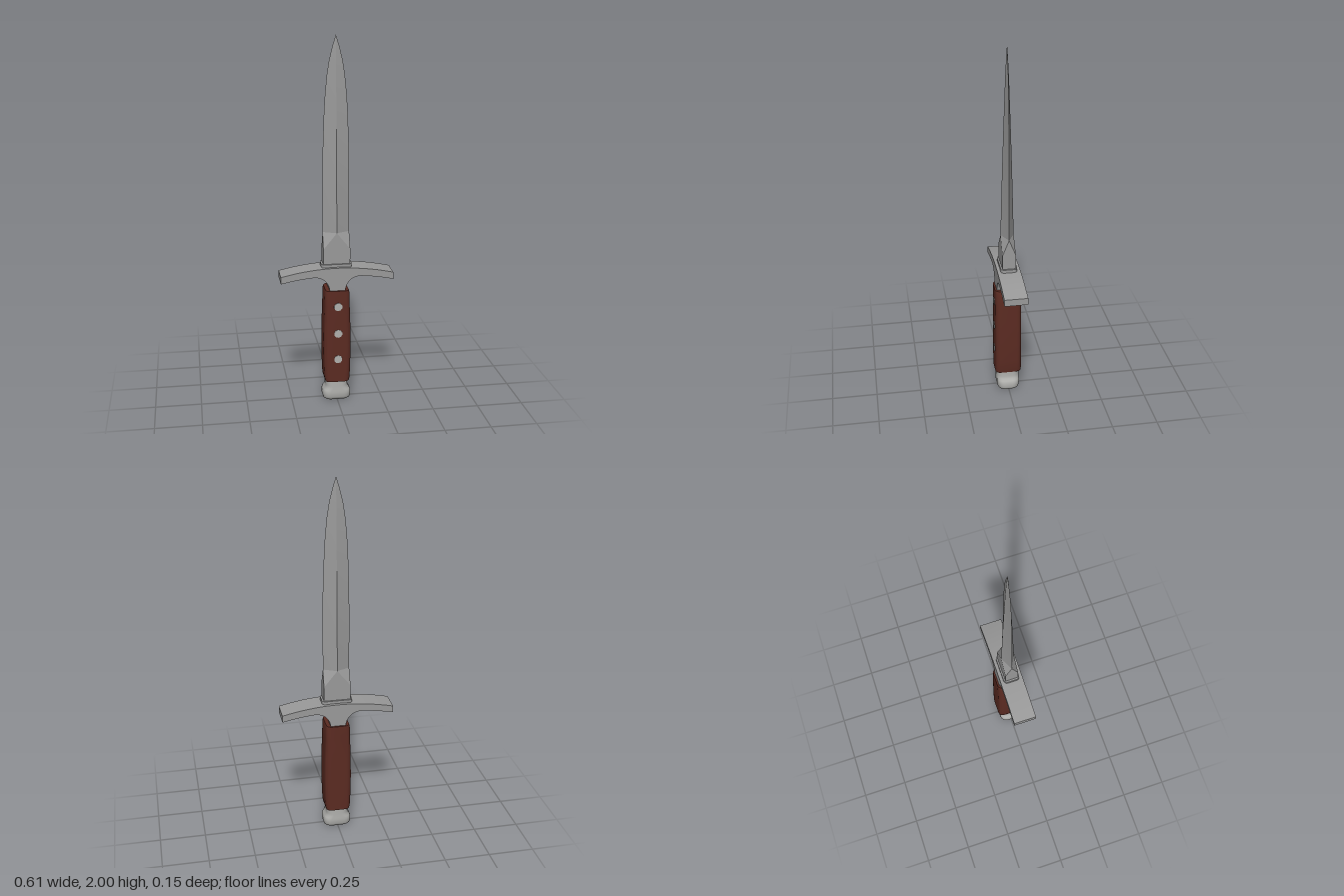
import * as THREE from 'three';
import { toCreasedNormals } from 'three/addons/utils/BufferGeometryUtils.js';

// Skin a stack of horizontal rings (bottom to top) and cap both ends
function loft(rings, crease) {
  const n = rings[0].length, pos = [], idx = [];
  rings.forEach(r => r.forEach(p => pos.push(...p)));
  for (let i = 0; i < rings.length - 1; i++) {
    for (let j = 0; j < n; j++) {
      const k = (j + 1) % n, a = i * n + j, b = i * n + k, c = b + n, d = a + n;
      idx.push(a, d, c, a, c, b);
    }
  }
  const top = (rings.length - 1) * n;
  for (let j = 1; j < n - 1; j++) {
    idx.push(0, j, j + 1);
    idx.push(top, top + j + 1, top + j);
  }
  const g = new THREE.BufferGeometry();
  g.setAttribute('position', new THREE.Float32BufferAttribute(pos, 3));
  g.setIndex(idx);
  return toCreasedNormals(g, crease);
}

// Rounded rectangle ring at height y
function roundRing(y, hx, hz, r, steps = 5) {
  const pts = [];
  [[1, 1], [-1, 1], [-1, -1], [1, -1]].forEach(([sx, sz], q) => {
    for (let s = 0; s <= steps; s++) {
      const t = (q + s / steps) * Math.PI / 2;
      pts.push([sx * (hx - r) + r * Math.cos(t), y, sz * (hz - r) + r * Math.sin(t)]);
    }
  });
  return pts;
}

// Rectangle ring with corners cut by fraction c (1 gives a diamond)
function cutRing(y, hx, hz, c) {
  const u = hx * (1 - c), v = hz * (1 - c);
  return [[hx, y, v], [u, y, hz], [-u, y, hz], [-hx, y, v],
    [-hx, y, -v], [-u, y, -hz], [u, y, -hz], [hx, y, -v]];
}

export function createModel() {
  const group = new THREE.Group();
  const material = (name, color) => {
    const m = new THREE.MeshStandardMaterial({ color });
    m.name = name;
    return m;
  };
  const steel = material('steel', 0x9a9a9a);
  const polished = material('polishedSteel', 0xb0b0ad);
  const wood = material('redBrownWood', 0x5b2b22);
  const add = (name, geometry, mat) => {
    const m = new THREE.Mesh(geometry, mat);
    m.name = name;
    group.add(m);
    return m;
  };

  // Blade: square base, cut to a diamond section, tapering to the point
  const blade = [[0.78, 0.073, 0.036, 0], [0.87, 0.073, 0.036, 0], [0.96, 0.072, 0.036, 1],
    [1.2, 0.072, 0.03, 1], [1.4, 0.07, 0.0245, 1], [1.6, 0.063, 0.018, 1],
    [1.7, 0.057, 0.0145, 1], [1.8, 0.047, 0.011, 1], [1.87, 0.036, 0.008, 1],
    [1.94, 0.019, 0.0045, 1], [2, 0.0005, 0.0005, 1]];
  add('blade', loft(blade.map(b => cutRing(...b)), 0.15), steel);

  // Collar under the blade
  add('collar', loft([0.755, 0.788].map(y => roundRing(y, 0.083, 0.045, 0.02)), 0.6), steel);

  // Curved crossguard flowing into the neck
  const s = new THREE.Shape();
  s.moveTo(-0.306, 0.735);
  s.lineTo(-0.306, 0.697);
  s.quadraticCurveTo(-0.2, 0.72, -0.125, 0.724);
  s.bezierCurveTo(-0.07, 0.722, -0.045, 0.685, -0.04, 0.635);
  s.lineTo(0.04, 0.635);
  s.bezierCurveTo(0.045, 0.685, 0.07, 0.722, 0.125, 0.724);
  s.quadraticCurveTo(0.2, 0.72, 0.306, 0.697);
  s.lineTo(0.306, 0.735);
  s.quadraticCurveTo(0, 0.81, -0.306, 0.735);
  const guard = new THREE.ExtrudeGeometry(s, { depth: 0.126, bevelEnabled: false, curveSegments: 14 });
  guard.translate(0, 0, -0.063);
  add('crossguard', toCreasedNormals(guard, 0.5), steel);

  // Grip, slightly swollen toward the lower half
  const grip = [[0.115, 0.066], [0.135, 0.07], [0.2, 0.073], [0.32, 0.075],
    [0.45, 0.073], [0.56, 0.069], [0.63, 0.067], [0.645, 0.063]];
  add('grip', loft(grip.map(([y, hx]) => roundRing(y, hx, 0.073, 0.028)), 0.6), wood);

  // Rivets on the front of the grip
  [0.25, 0.4, 0.555].forEach((y, i) => {
    const g = new THREE.CylinderGeometry(0.023, 0.023, 0.006, 10);
    g.rotateX(Math.PI / 2);
    add('rivet' + (i + 1), g, polished).position.set(0.002, y, 0.073);
  });

  // Pommel with a waist and a rounded foot
  const pommel = [[0, 0.066, 0.05, 0.035], [0.006, 0.074, 0.056, 0.038], [0.018, 0.077, 0.062, 0.04],
    [0.045, 0.077, 0.063, 0.04], [0.057, 0.072, 0.063, 0.04], [0.068, 0.063, 0.063, 0.04],
    [0.085, 0.06, 0.063, 0.04], [0.12, 0.062, 0.063, 0.04]];
  add('pommel', loft(pommel.map(p => roundRing(...p)), 0.9), polished);

  return group;
}
